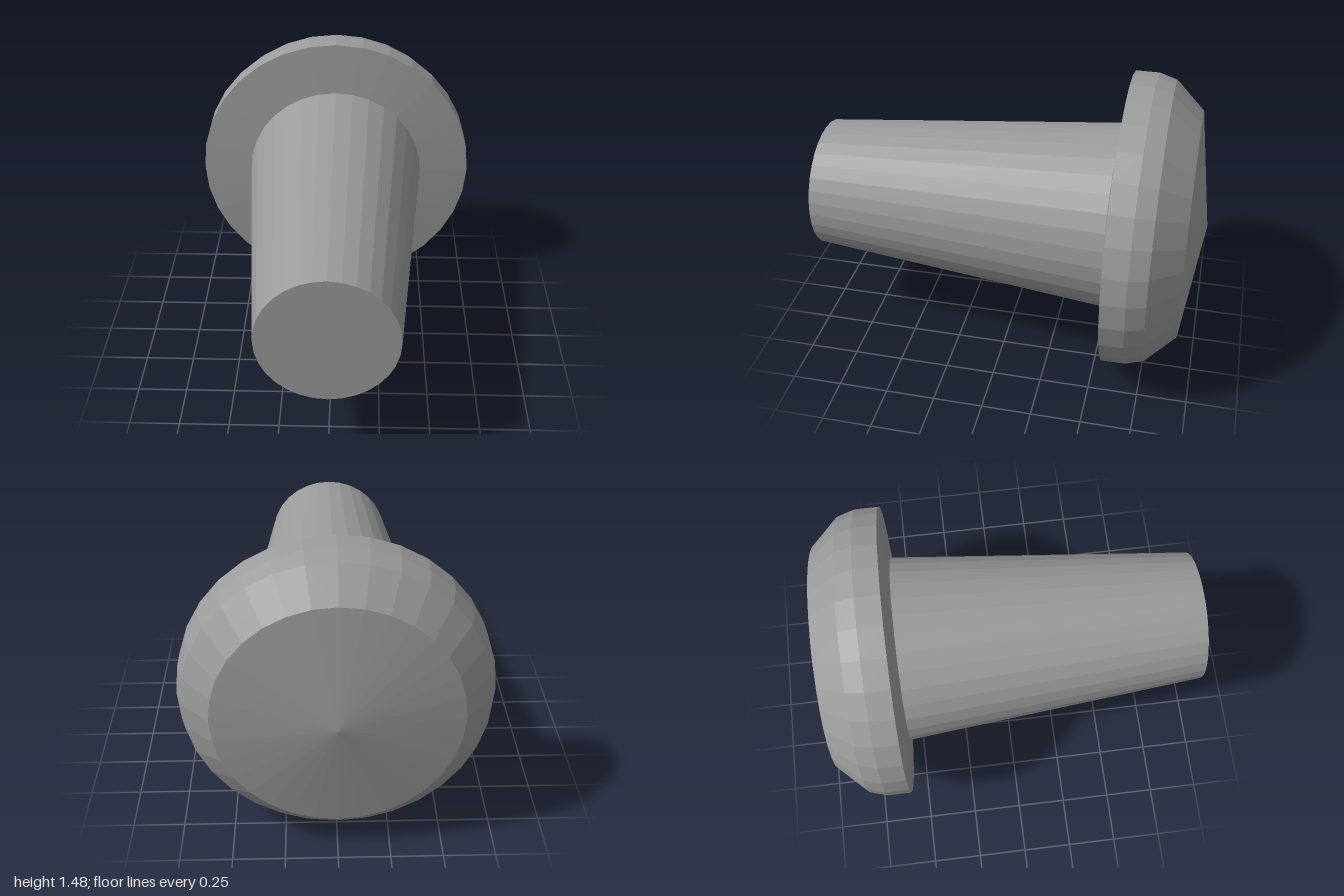
import * as THREE from 'three';

const SIDES = 32;
const AXIS_HEIGHT = 0.742;

export function createModel() {
  const group = new THREE.Group();
  group.name = 'plug';
  const material = new THREE.MeshStandardMaterial({ color: 0x9b9b9b, flatShading: true });

  // Turn a [radius, z] profile, listed back to front, around the z axis
  const addTurned = (name, profile) => {
    const points = profile.map(([r, z]) => new THREE.Vector2(r, z));
    const geometry = new THREE.LatheGeometry(points, SIDES).rotateX(Math.PI / 2);
    const mesh = new THREE.Mesh(geometry, material);
    mesh.name = name;
    mesh.position.y = AXIS_HEIGHT;
    group.add(mesh);
  };

  // Domed head with a shallow conical back and a slightly sloped underside
  addTurned('head', [
    [0, -1], [0.577, -0.915], [0.715, -0.77], [0.742, -0.68], [0.742, -0.56], [0.475, -0.533],
  ]);

  // Tapered stem closed by a flat front end
  addTurned('stem', [[0.475, -0.533], [0.332, 1], [0, 1]]);

  return group;
}
